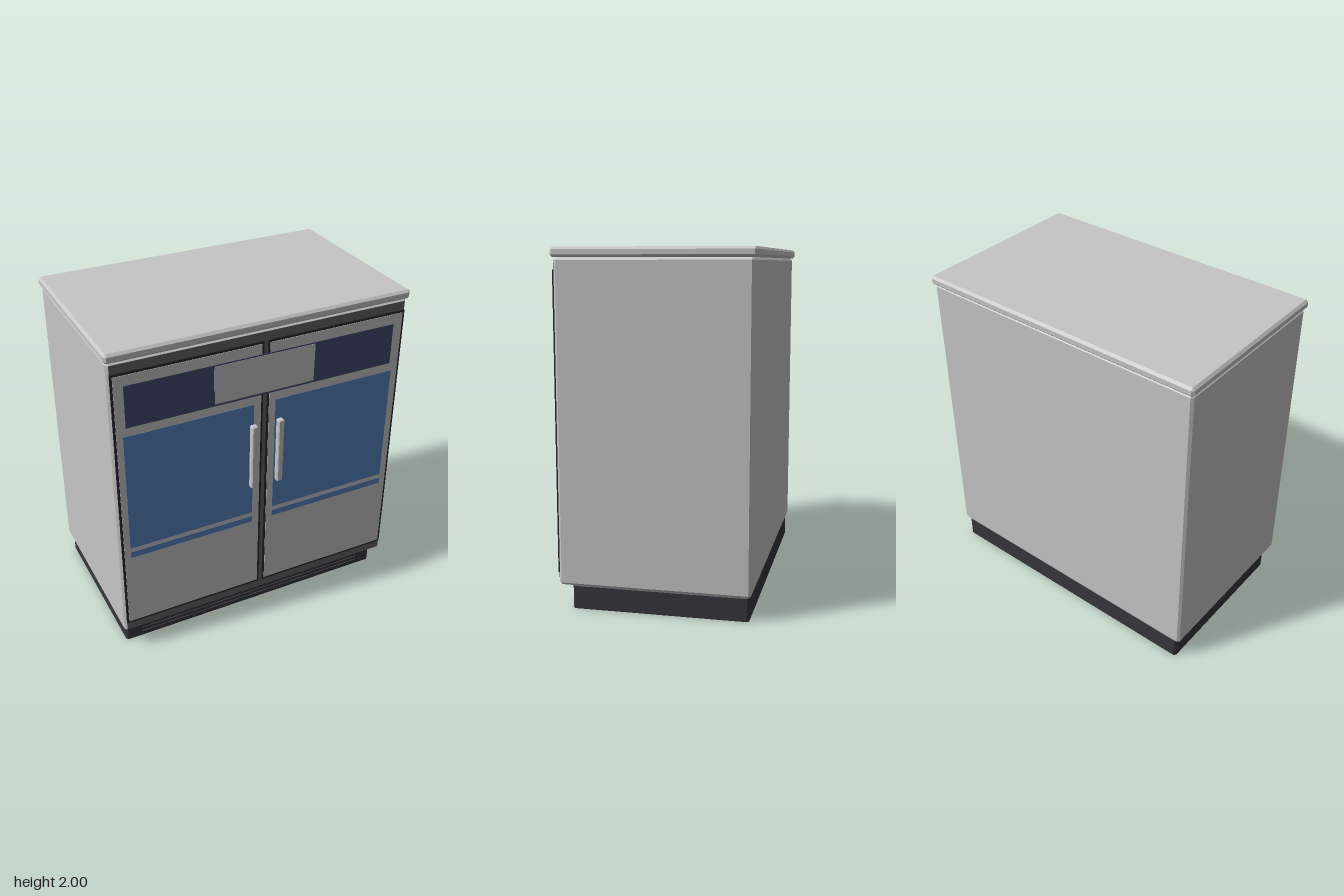
import * as THREE from 'three';
import { ConvexGeometry } from 'three/addons/geometries/ConvexGeometry.js';

const mat = (name, color) => {
  const m = new THREE.MeshStandardMaterial({ color });
  m.name = name;
  return m;
};

// Box with chamfered edges, given as [min, max] ranges
function chamferBox([x0, x1], [y0, y1], [z0, z1], c) {
  const half = [(x1 - x0) / 2, (y1 - y0) / 2, (z1 - z0) / 2];
  const points = [];
  for (const sx of [-1, 1]) for (const sy of [-1, 1]) for (const sz of [-1, 1]) {
    for (let full = 0; full < 3; full++) {
      const [x, y, z] = half.map((h, i) => (i === full ? h : h - c));
      points.push(new THREE.Vector3(sx * x, sy * y, sz * z));
    }
  }
  return new ConvexGeometry(points).translate((x0 + x1) / 2, (y0 + y1) / 2, (z0 + z1) / 2);
}

function plainBox([x0, x1], [y0, y1], [z0, z1]) {
  return new THREE.BoxGeometry(x1 - x0, y1 - y0, z1 - z0)
    .translate((x0 + x1) / 2, (y0 + y1) / 2, (z0 + z1) / 2);
}

// Rectangle with cut corners, as outline points
function cutRect(hx, hy, c) {
  return [[hx, hy - c], [hx - c, hy], [c - hx, hy], [-hx, hy - c],
    [-hx, c - hy], [c - hx, -hy], [hx - c, -hy], [hx, c - hy]]
    .map(([x, y]) => new THREE.Vector2(x, y));
}

// Upright ring of thin walls, open above and below
function wallRing(hx, hz, height, cut, thickness) {
  const shape = new THREE.Shape(cutRect(hx, hz, cut));
  shape.holes.push(new THREE.Path(cutRect(hx - thickness, hz - thickness, cut)));
  return new THREE.ExtrudeGeometry(shape, { depth: height, bevelEnabled: false })
    .rotateX(-Math.PI / 2);
}

export function createModel() {
  const steel = mat('steel grey', 0xc6c6c6);
  const trim = mat('trim grey', 0x626264);
  const plinthDark = mat('plinth charcoal', 0x36353c);
  const black = mat('seal black', 0x27272c);
  const blue = mat('window blue', 0x5585bf);
  const navy = mat('banner navy', 0x3f4a6c);

  const model = new THREE.Group();
  model.name = 'doubleDoorCabinet';
  const add = (name, geometry, material, parent = model) => {
    const mesh = new THREE.Mesh(geometry, material);
    mesh.name = name;
    parent.add(mesh);
    return mesh;
  };

  // Cabinet shell, worktop and front frame
  add('cabinet', chamferBox([-0.903, 0.903], [0.14, 1.945], [-0.563, 0.515], 0.014), steel);
  add('worktop', chamferBox([-0.915, 0.915], [1.945, 2], [-0.58, 0.531], 0.014), steel);
  add('frontFrame', plainBox([-0.889, 0.889], [0.154, 1.931], [0.51, 0.517]), trim);

  // Recessed plinth: hollow walls, open below, under a chamfered cap
  const plinth = new THREE.Group();
  plinth.name = 'plinth';
  model.add(plinth);
  add('plinthWalls', wallRing(0.875, 0.4975, 0.13, 0.012, 0.006), plinthDark, plinth)
    .position.z = -0.0525;
  add('plinthCap', chamferBox([-0.875, 0.875], [0.117, 0.142], [-0.55, 0.445], 0.012), plinthDark, plinth);

  // Ventilation slats
  const grille = new THREE.Group();
  grille.name = 'grille';
  model.add(grille);
  for (const y of [0.032, 0.06, 0.094, 0.12]) {
    add('slat', plainBox([-0.77, 0.77], [y - 0.003, y + 0.003], [0.442, 0.447]), trim, grille);
  }

  // Doors: dark seal, steel face, window panels and handle
  for (const side of [-1, 1]) {
    const door = new THREE.Group();
    door.name = side < 0 ? 'rightDoor' : 'leftDoor';
    model.add(door);
    const span = (a, b) => (side < 0 ? [-b, -a] : [a, b]);
    add('seal', plainBox(span(0.012, 0.89), [0.208, 1.88], [0.515, 0.523]), black, door);
    add('doorFace', plainBox(span(0.025, 0.877), [0.222, 1.866], [0.518, 0.526]), steel, door);
    const panel = side < 0 ? [-0.84, -0.07] : [0.065, 0.835];
    add('window', plainBox(panel, [0.763, 1.503], [0.524, 0.5275]), blue, door);
    add('windowStripe', plainBox(panel, [0.695, 0.735], [0.524, 0.5275]), blue, door);
    const grip = side < 0 ? [-0.103, -0.066] : [0.063, 0.1];
    add('handle', chamferBox(grip, [0.975, 1.39], [0.542, 0.58], 0.006), steel, door);
  }

  // Header banner across both doors, with blank centre plate
  add('banner', plainBox([-0.822, 0.82], [1.555, 1.805], [0.524, 0.5275]), navy);
  add('bannerPlate', plainBox([-0.31, 0.305], [1.567, 1.797], [0.525, 0.529]), steel);

  return model;
}
